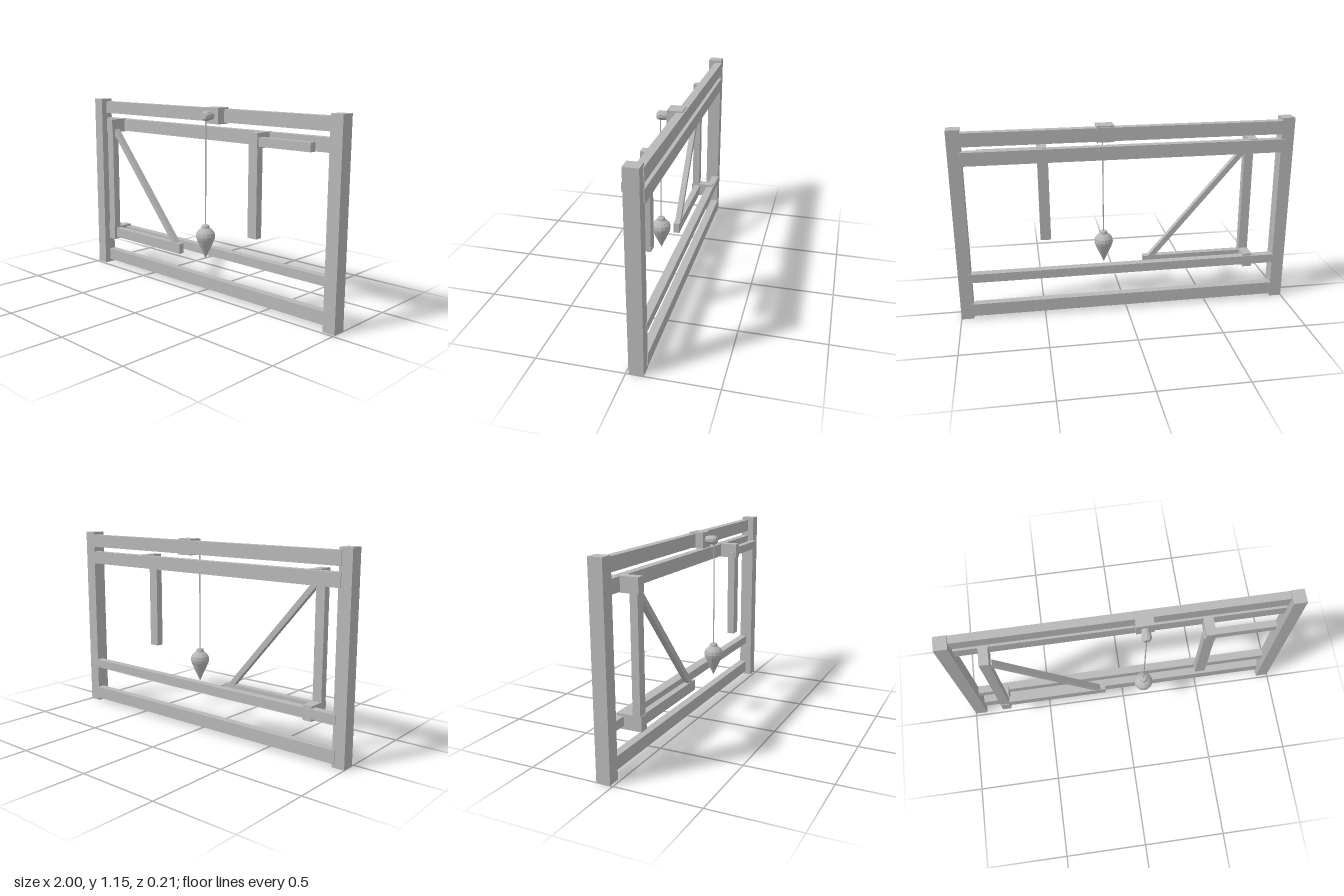
import * as THREE from 'three';

export function createModel() {
  const model = new THREE.Group();
  model.name = 'plumbFrame';
  const grey = new THREE.MeshStandardMaterial({ color: 0xb8b8b8 });
  grey.name = 'grey';

  function add(name, geometry) {
    const mesh = new THREE.Mesh(geometry, grey);
    mesh.name = name;
    model.add(mesh);
    return mesh;
  }

  // Beam given by its low and high limits on each axis
  function beam(name, [x0, x1], [y0, y1], [z0, z1]) {
    const mesh = add(name, new THREE.BoxGeometry(x1 - x0, y1 - y0, z1 - z0));
    mesh.position.set((x0 + x1) / 2, (y0 + y1) / 2, (z0 + z1) / 2);
    return mesh;
  }

  // Faceted turned part
  function turned(name, profile, sides) {
    const points = profile.map(([r, y]) => new THREE.Vector2(r, y));
    const geometry = new THREE.LatheGeometry(points, sides).toNonIndexed();
    geometry.computeVertexNormals();
    return add(name, geometry);
  }

  // Posts
  beam('rightPost', [-1, -0.925], [0, 1.155], [-0.098, -0.016]);
  beam('leftPost', [0.925, 1], [0, 1.155], [-0.098, -0.016]);

  // Horizontal rails
  const rails = { topRail: [1.06, 1.138], upperRail: [0.95, 1.028], lowerRail: [0.237, 0.29], bottomRail: [0.02, 0.096] };
  for (const [name, y] of Object.entries(rails)) {
    beam(name, [-0.94, 0.94], y, [-0.103, -0.055]);
  }

  // Braced bracket on the right-hand side
  beam('bracketUpperBlock', [-0.79, -0.735], [0.946, 1.031], [-0.075, 0.05]);
  beam('bracketLowerBlock', [-0.79, -0.735], [0.218, 0.303], [-0.095, 0.05]);
  beam('bracketUpright', [-0.791, -0.736], [0.25, 0.98], [0, 0.045]);
  beam('bracketArm', [-0.75, -0.12], [0.231, 0.294], [-0.006, 0.032]);
  const start = new THREE.Vector2(-0.74, 0.955);
  const end = new THREE.Vector2(-0.16, 0.28);
  const along = end.clone().sub(start);
  const brace = add('diagonalBrace', new THREE.BoxGeometry(along.length(), 0.032, 0.034));
  brace.position.set((start.x + end.x) / 2, (start.y + end.y) / 2, 0.012);
  brace.rotation.z = along.angle();

  // Hanging arm on the left-hand side
  beam('hangerBlock', [0.453, 0.508], [0.946, 1.031], [-0.075, 0.05]);
  beam('hangerUpright', [0.444, 0.506], [0.44, 0.98], [0, 0.045]);
  beam('hangerArm', [0.5, 0.85], [0.957, 1.007], [0, 0.04]);

  // Peg and its block on the top rail
  const x = 0.12;
  const bobZ = 0.046;
  beam('pegBlock', [0.07, 0.17], [1.052, 1.147], [-0.093, -0.004]);
  const peg = turned('peg', [[0, -0.01], [0.022, -0.01], [0.028, 0.03], [0.028, 0.05], [0.019, 0.064], [0, 0.064]], 10);
  peg.rotation.x = Math.PI / 2;
  peg.position.set(x, 1.1, 0);

  // Cord and plumb bob
  const cord = add('cord', new THREE.CylinderGeometry(0.0035, 0.0035, 0.64, 8));
  cord.position.set(x, 0.775, bobZ);
  const bob = turned('plumbBob', [
    [0, 0.255], [0.025, 0.309], [0.042, 0.345], [0.054, 0.375], [0.0575, 0.392], [0.054, 0.413],
    [0.041, 0.43], [0.026, 0.441], [0.022, 0.457], [0.014, 0.462], [0, 0.462],
  ], 14);
  bob.position.set(x, 0, bobZ);

  return model;
}
